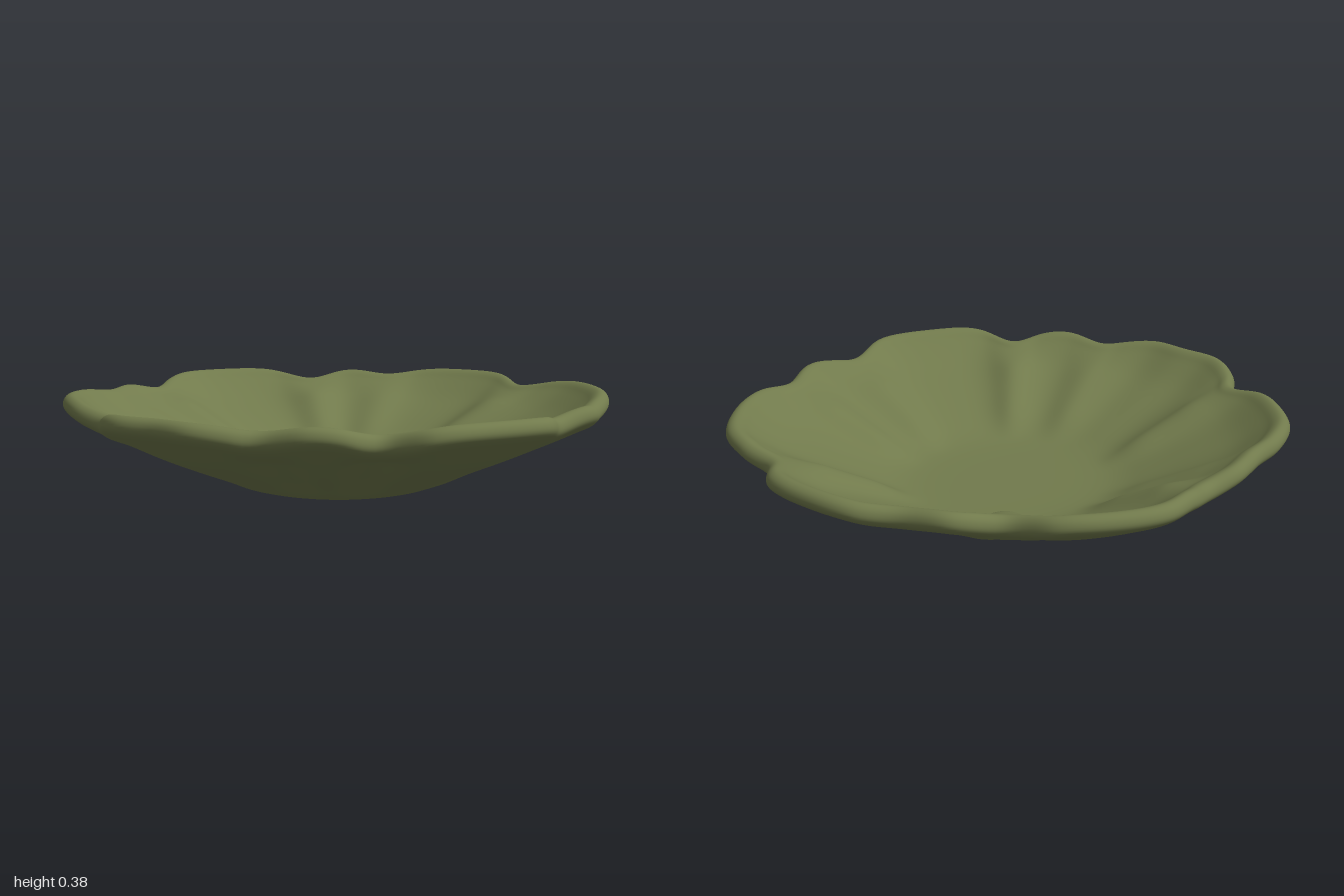
import * as THREE from 'three';

// Scalloped rim seen from above: x, z pairs going round
const RIM = [
  0.99, 0, 0.96, 0.24, 0.885, 0.416, 0.736, 0.496, 0.7, 0.613, 0.62, 0.71, 0.47, 0.779,
  0.416, 0.843, 0.31, 0.933, 0.165, 0.965, 0.02, 1, -0.128, 0.955, -0.219, 0.885,
  -0.384, 0.885, -0.528, 0.832, -0.66, 0.747, -0.752, 0.613, -0.785, 0.496, -0.86, 0.347,
  -0.88, 0.197, -0.944, 0.08, -1, -0.07, -0.97, -0.24, -0.875, -0.41, -0.725, -0.507,
  -0.66, -0.667, -0.51, -0.773, -0.42, -0.89, -0.26, -0.97, -0.075, -1, 0.117, -0.925,
  0.245, -0.955, 0.38, -0.95, 0.565, -0.84, 0.7, -0.69, 0.773, -0.533, 0.87, -0.4, 0.89, -0.19,
];

// Folds between the petals: angle in degrees, strength
const FOLDS = [
  [34, 1], [59, 0.7], [104, 0.9], [149, 0.5], [167, 1],
  [215, 1], [236.5, 0.6], [277, 0.9], [325, 0.8], [348, 0.8],
];

// Cross-section from the centre underneath, round the lip, to the centre inside
const PROFILE = [
  [0, 0], [0.15, 0.005], [0.3, 0.024], [0.42, 0.056], [0.52, 0.097], [0.65, 0.15], [0.8, 0.217],
  [0.92, 0.282], [0.98, 0.317], [1, 0.343], [0.993, 0.37], [0.97, 0.383], [0.942, 0.374],
  [0.9, 0.34], [0.8, 0.274], [0.65, 0.209], [0.52, 0.158], [0.43, 0.128], [0.34, 0.114],
  [0.2, 0.11], [0, 0.11],
];

const { smoothstep, lerp, radToDeg } = THREE.MathUtils;

// How strongly a fold is felt at an angle
function foldAt(deg) {
  let sum = 0;
  for (const [at, strength] of FOLDS) {
    const d = ((deg - at + 540) % 360) - 180;
    sum += strength * Math.exp(-((d / 8) ** 2));
  }
  return Math.min(sum, 1);
}

function dishGeometry() {
  const around = 288, along = 80;
  const rimPoints = [];
  for (let i = 0; i < RIM.length; i += 2) rimPoints.push(new THREE.Vector3(RIM[i], 0, RIM[i + 1]));
  const rim = new THREE.CatmullRomCurve3(rimPoints, true).getSpacedPoints(around);
  const profile = new THREE.SplineCurve(PROFILE.map((p) => new THREE.Vector2(...p))).getPoints(along);
  const positions = [], indices = [];

  for (let j = 0; j < around; j++) {
    const { x, z } = rim[j];
    const radius = Math.hypot(x, z);
    const fold = foldAt((radToDeg(Math.atan2(z, x)) + 360) % 360);
    for (const p of profile) {
      const f = Math.max(p.x, 0);
      // scallops fade into a round floor; folds rise mid-wall and dip at the rim
      const scale = f * lerp(0.96, radius, smoothstep(f, 0.3, 0.95)) / radius;
      const ridge = 0.03 * smoothstep(f, 0.36, 0.58) * (1 - smoothstep(f, 0.76, 0.97));
      const dip = 0.04 * smoothstep(f, 0.75, 1);
      const shift = -0.04 * (1 - smoothstep(f, 0.2, 0.9));
      positions.push(x * scale + shift, Math.max(p.y, 0) + fold * (ridge - dip), z * scale + shift);
    }
  }

  const row = along + 1;
  for (let j = 0; j < around; j++) {
    const next = (j + 1) % around;
    for (let i = 0; i < along; i++) {
      const a = j * row + i, c = next * row + i;
      indices.push(a, a + 1, c, a + 1, c + 1, c);
    }
  }
  const geometry = new THREE.BufferGeometry();
  geometry.setAttribute('position', new THREE.Float32BufferAttribute(positions, 3));
  geometry.setIndex(indices);
  geometry.computeVertexNormals();
  return geometry;
}

export function createModel() {
  const group = new THREE.Group();
  group.name = 'scallopedDish';
  const olive = new THREE.MeshStandardMaterial({ color: 0x717a4c });
  olive.name = 'oliveGlaze';
  const dish = new THREE.Mesh(dishGeometry(), olive);
  dish.name = 'dish';
  group.add(dish);
  return group;
}
